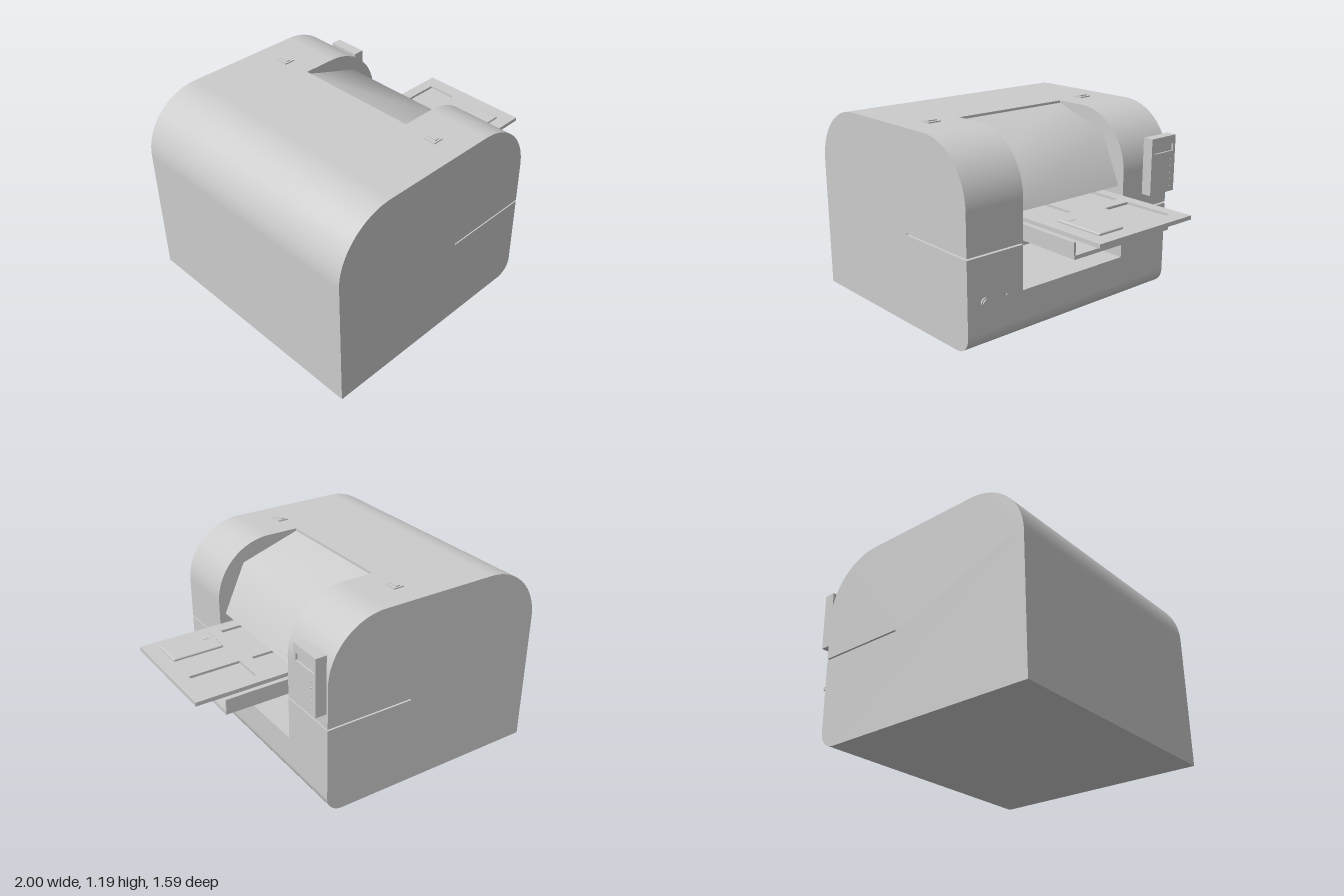
import * as THREE from 'three';
import { RoundedBoxGeometry } from 'three/addons/geometries/RoundedBoxGeometry.js';

const mat = new THREE.MeshStandardMaterial({ color: 0xcccccc });
const openMat = new THREE.MeshStandardMaterial({ color: 0xcccccc, side: THREE.DoubleSide });

export function createModel() {
  const model = new THREE.Group();

  const add = (name, geometry, material = mat) => {
    const mesh = new THREE.Mesh(geometry, material);
    mesh.name = name;
    model.add(mesh);
    return mesh;
  };
  // box given by its limits on each axis
  const box = (name, x0, x1, y0, y1, z0, z1) => {
    const mesh = add(name, new THREE.BoxGeometry(x1 - x0, y1 - y0, z1 - z0));
    mesh.position.set((x0 + x1) / 2, (y0 + y1) / 2, (z0 + z1) / 2);
    return mesh;
  };
  const extrudeZ = (name, shape, z0, z1) => {
    const g = new THREE.ExtrudeGeometry(shape, { depth: z1 - z0, bevelEnabled: false, curveSegments: 24 });
    return add(name, g.translate(0, 0, z0));
  };
  const rectPath = (path, x0, x1, y0, y1) =>
    path.moveTo(x0, y0).lineTo(x1, y0).lineTo(x1, y1).lineTo(x0, y1).closePath();

  const H = 1.18, R = 0.36, F = 0.45, D = 0.795, notchX = -0.11, notchZ = 0.4, floorY = 0.28;

  // lower edge with its rounded front corner, shared by all body sections
  const startProfile = () => {
    const s = new THREE.Shape();
    s.moveTo(-1, 0);
    s.lineTo(F - 0.1, 0);
    s.absarc(F - 0.1, 0.1, 0.1, -Math.PI / 2, 0, false);
    return s;
  };
  const endProfile = (s) => {
    s.absarc(-1 + R, H - R, R, Math.PI / 2, Math.PI, false);
    s.closePath();
    return s;
  };

  // side housings with the thin seam cut into them
  const side = startProfile();
  side.lineTo(F, 0.552);
  side.lineTo(notchX, 0.552);
  side.lineTo(notchX, 0.562);
  side.lineTo(F, 0.562);
  side.absarc(F - R, H - R, R, 0, Math.PI / 2, false);
  endProfile(side);
  extrudeZ('leftHousing', side, notchZ, D);
  extrudeZ('rightHousing', side, -D, -notchZ);

  // middle housing, open at the front
  const middle = startProfile();
  middle.lineTo(F, floorY);
  middle.lineTo(notchX, floorY);
  middle.lineTo(notchX, H);
  endProfile(middle);
  extrudeZ('middleHousing', middle, -notchZ, notchZ);

  // bent cover over the opening
  const coverLine = [[notchX, 1.165], [0.27, 1.04], [0.41, 0.73]];
  const cover = new THREE.PlaneGeometry(1, 1, 1, 2);
  const cp = cover.attributes.position;
  for (let i = 0; i < cp.count; i++) {
    const [x, y] = coverLine[Math.floor(i / 2)];
    cp.setXYZ(i, x, y, i % 2 ? -notchZ : notchZ);
  }
  cover.computeVertexNormals();
  add('frontCover', cover, openMat);

  // upper tray with shallow pockets
  const trayBack = 0.0;
  const upper = new THREE.Shape();
  rectPath(upper, trayBack, 1, -0.362, 0.362);
  for (const [x0, x1, y0, y1] of [[0.2, 0.51, 0.1, 0.29], [0.2, 0.51, -0.28, -0.09], [0.59, 0.91, 0.1, 0.29]]) {
    const hole = new THREE.Path();
    rectPath(hole, x0, x1, y0, y1);
    upper.holes.push(hole);
  }
  const upperGeo = new THREE.ExtrudeGeometry(upper, { depth: 0.015, bevelEnabled: false });
  upperGeo.rotateX(-Math.PI / 2).translate(0, 0.677, 0);
  add('upperTrayFrame', upperGeo);
  box('upperTrayBase', trayBack, 1, 0.668, 0.677, -0.362, 0.362);

  // raised card and its small tab
  const card = add('trayCard', new RoundedBoxGeometry(0.32, 0.03, 0.185, 3, 0.008));
  card.position.set(0.75, 0.692, 0.185);
  box('cardTab', 0.615, 0.66, 0.7, 0.709, 0.207, 0.252);

  // lower tray
  box('lowerTrayPlate', trayBack, 0.83, 0.562, 0.585, -0.375, 0.375);
  for (const s of [-1, 1]) {
    const mirrored = (name, x0, x1, y0, y1, a, b) =>
      box(name, x0, x1, y0, y1, Math.min(s * a, s * b), Math.max(s * a, s * b));
    mirrored('lowerTrayWall', trayBack, 0.83, 0.585, 0.66, 0.367, 0.38);
    mirrored('trayGuide', 0.2, 0.8, 0.585, 0.668, 0.14, 0.155);
    mirrored('guideLedge', 0.2, 0.8, 0.585, 0.64, 0.155, 0.165);
    mirrored('guideStep', 0.25, 0.45, 0.585, 0.61, 0.07, 0.14);
    mirrored('guideStop', 0.25, 0.45, 0.605, 0.63, 0.035, 0.075);

    // upright rails inside the opening
    mirrored('uprightRail', notchX, -0.02, floorY, 0.655, 0.375, 0.392);
    const cap = add('railCap', new THREE.CylinderGeometry(0.0085, 0.0085, 0.09, 12));
    cap.rotation.z = Math.PI / 2;
    cap.position.set(-0.065, 0.655, s * 0.3835);

    // latches on the lid
    mirrored('lidLatch', -0.145, -0.08, H - 0.01, 1.187, 0.555, 0.638);
    mirrored('latchRidge', -0.125, -0.1, 1.18, 1.193, 0.565, 0.628);
  }

  // control panel with a recessed display
  const panel = new THREE.Shape();
  rectPath(panel, 0.57, 0.785, 0.655, 1.01);
  const display = new THREE.Path();
  rectPath(display, 0.593, 0.765, 0.912, 0.958);
  panel.holes.push(display);
  const panelGeo = new THREE.ExtrudeGeometry(panel, { depth: 0.012, bevelEnabled: false });
  panelGeo.rotateY(Math.PI / 2).translate(0.508, 0, 0);
  add('controlPanelFace', panelGeo);
  box('controlPanelBody', 0.452, 0.508, 0.655, 1.01, -0.785, -0.57);
  for (const y of [0.69, 0.735, 0.775, 0.82, 0.86]) {
    const key = add('panelKey', new THREE.SphereGeometry(0.005, 10, 8));
    key.position.set(0.52, y, -0.745);
  }

  // power button and indicator on the front
  const disc = (name, r, x0, x1, y, z) => {
    const mesh = add(name, new THREE.CylinderGeometry(r, r, x1 - x0, 24));
    mesh.rotation.z = -Math.PI / 2;
    mesh.position.set((x0 + x1) / 2, y, z);
  };
  disc('powerButtonRing', 0.026, 0.44, 0.459, 0.287, 0.678);
  disc('powerButton', 0.017, 0.45, 0.467, 0.287, 0.678);
  disc('indicator', 0.007, 0.44, 0.455, 0.287, 0.518);

  return model;
}
